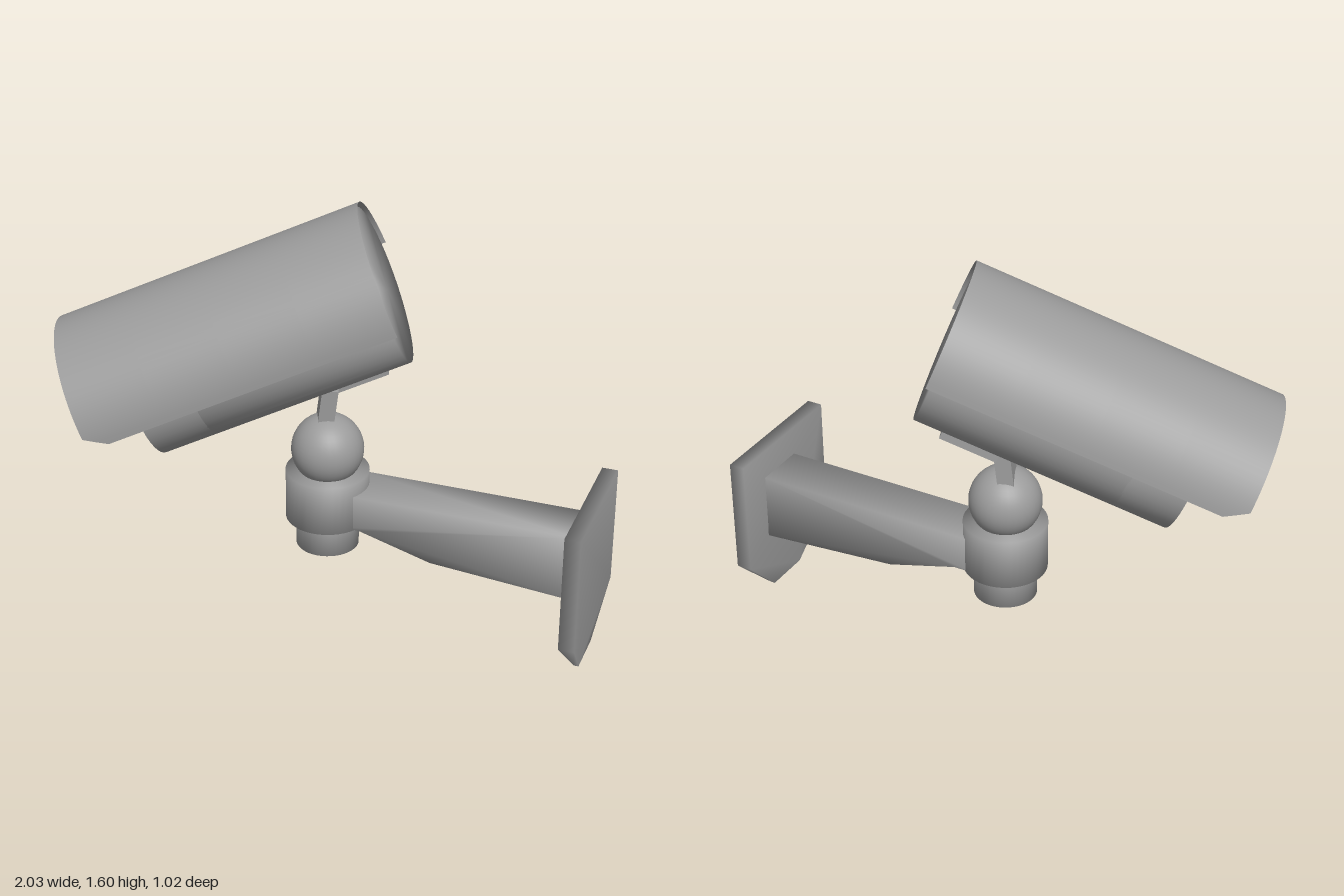
import * as THREE from 'three';
import { mergeVertices } from 'three/addons/utils/BufferGeometryUtils.js';

const grey = new THREE.MeshStandardMaterial({ color: 0x9c9c9c, side: THREE.DoubleSide });
grey.name = 'grey';

// Weld corners so the shading runs smoothly over the edges
function smooth(geometry) {
  geometry.deleteAttribute('normal');
  geometry.deleteAttribute('uv');
  const welded = mergeVertices(geometry, 1e-4);
  welded.computeVertexNormals();
  return welded;
}

function add(parent, name, geometry, x = 0, y = 0, z = 0) {
  const mesh = new THREE.Mesh(geometry, grey);
  mesh.name = name;
  mesh.position.set(x, y, z);
  parent.add(mesh);
  return mesh;
}

function moveVertices(geometry, rule) {
  const p = geometry.attributes.position;
  const v = new THREE.Vector3();
  for (let i = 0; i < p.count; i++) {
    rule(v.fromBufferAttribute(p, i));
    p.setXYZ(i, v.x, v.y, v.z);
  }
  return geometry;
}

// Turn a unit-radius round part along +z, and give it the body's section:
// round above, flatter below
function bodySection(geometry) {
  geometry.rotateX(Math.PI / 2);
  return smooth(moveVertices(geometry, (v) => {
    v.x *= 0.333;
    v.y *= v.y > 0 ? 0.312 : 0.25;
  }));
}

function polygon(points) {
  return new THREE.Shape(points.map(([x, y]) => new THREE.Vector2(x, y)));
}

function createHead() {
  const head = new THREE.Group();
  head.name = 'cameraHead';
  // Local axes: x = side, y = up, z = viewing direction
  const aim = new THREE.Vector3(-0.867, -0.381, 0.321).normalize();
  const side = new THREE.Vector3(0.375, -0.087, 0.922);
  const up = new THREE.Vector3().crossVectors(aim, side).normalize();
  side.crossVectors(up, aim);
  head.quaternion.setFromRotationMatrix(new THREE.Matrix4().makeBasis(side, up, aim));
  head.position.set(0.16, 1.3, -0.19);

  // Housing
  const housing = new THREE.CylinderGeometry(1, 1, 0.75, 48);
  add(head, 'housing', bodySection(housing), 0, 0, 0.39);

  // Front hood with recessed window
  const profile = [[1, 0.76], [1, 0.97], [0.88, 0.97], [0.86, 0.86], [0, 0.86]];
  const hood = new THREE.LatheGeometry(profile.map(([r, y]) => new THREE.Vector2(r, y)), 48);
  add(head, 'frontHood', bodySection(hood));

  // Curved sun shield with clipped front corners
  const shield = moveVertices(new THREE.PlaneGeometry(1, 1, 40, 4), (v) => {
    const angle = Math.PI * (v.x + 0.5);
    const fromEdge = Math.min(angle, Math.PI - angle);
    const length = 1.18 - 0.08 * Math.max(0, 1 - fromEdge / 0.157);
    v.set(0.345 * Math.cos(angle), 0.326 * Math.sin(angle), length * (v.y + 0.5));
  });
  add(head, 'sunShield', smooth(shield));

  // Mounting plates under the housing
  add(head, 'mountPlate', new THREE.BoxGeometry(0.11, 0.03, 0.15), 0, -0.255, 0.23);
  add(head, 'hingePlate', new THREE.BoxGeometry(0.12, 0.03, 0.22), 0, -0.285, 0.24);
  return head;
}

export function createModel() {
  const model = new THREE.Group();
  model.name = 'securityCamera';
  model.add(createHead());

  // Neck, ball joint and collar
  const neck = add(model, 'neck', new THREE.BoxGeometry(0.11, 0.17, 0.06), -0.05, 0.84, -0.095);
  neck.rotation.set(-0.12, -1.19, -0.05, 'YXZ');
  const cx = -0.043, cz = -0.08;
  add(model, 'ballJoint', new THREE.SphereGeometry(0.136, 32, 24), cx, 0.665, cz);
  add(model, 'collar', smooth(new THREE.CylinderGeometry(0.157, 0.157, 0.197, 40)), cx, 0.48, cz);
  add(model, 'lowerKnob', smooth(new THREE.CylinderGeometry(0.118, 0.118, 0.16, 40)), cx, 0.345, cz);

  // Arm, deepening towards the wall
  const arm = new THREE.ExtrudeGeometry(
    polygon([[0.03, 0.385], [0.11, 0.385], [0.39, 0.305], [0.95, 0.26], [0.95, 0.525], [0.03, 0.525]]),
    { depth: 0.2, bevelEnabled: false });
  add(model, 'arm', smooth(arm), 0, 0, -0.195);

  // Wall plate: outline drawn in (-z, y), thinned at its lower edge
  const plate = new THREE.ExtrudeGeometry(
    polygon([[-0.21, 0.64], [-0.21, 0.18], [-0.03, 0], [0.15, 0], [0.33, 0.18], [0.33, 0.64]]),
    { depth: 0.06, bevelEnabled: false });
  plate.rotateY(Math.PI / 2);
  moveVertices(plate, (v) => {
    if (v.y < 0.1) v.x = 0.03 + (v.x - 0.03) * 0.3;
  });
  add(model, 'wallPlate', smooth(plate), 0.94, 0, 0);
  return model;
}
